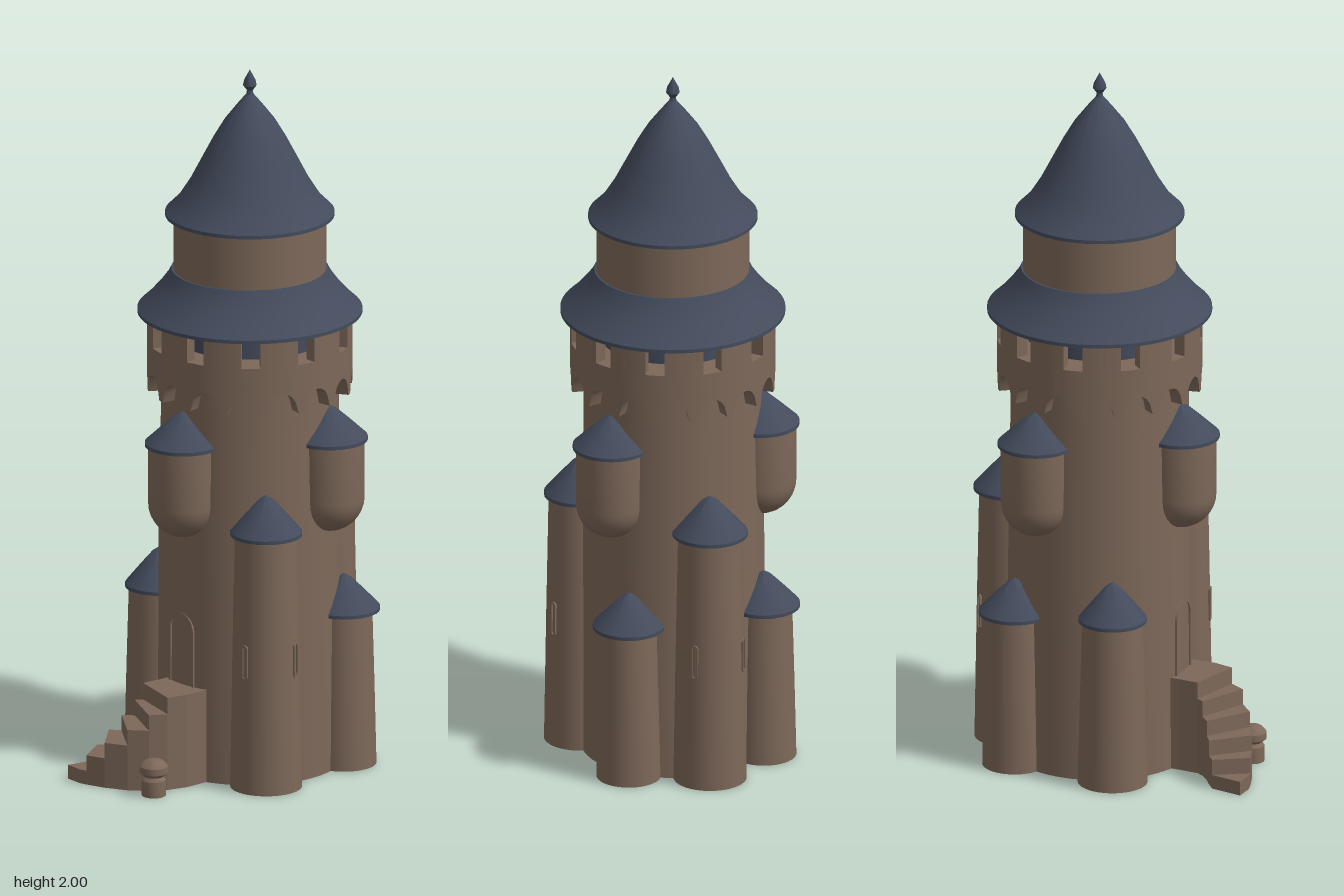
import * as THREE from 'three';
import { toCreasedNormals } from 'three/addons/utils/BufferGeometryUtils.js';

const stone = new THREE.MeshStandardMaterial({ color: 0x7d6859 });
const slate = new THREE.MeshStandardMaterial({ color: 0x434b5c });
stone.name = 'stone';
slate.name = 'slate';

const AXIS_Z = -0.068; // the keep stands a little behind the centre

function part(parent, name, geo, mat, x = 0, y = 0, z = 0) {
  const mesh = new THREE.Mesh(geo, mat);
  mesh.name = name;
  mesh.position.set(x, y, z);
  parent.add(mesh);
  return mesh;
}

function lathe(points, segments = 48) {
  return toCreasedNormals(new THREE.LatheGeometry(points.map(p => new THREE.Vector2(...p)), segments), 0.6);
}

// Flat shape raised along y
function slab(shape, height) {
  const geo = new THREE.ExtrudeGeometry(shape, { depth: height, bevelEnabled: false, curveSegments: 12 });
  return toCreasedNormals(geo.rotateX(-Math.PI / 2), 0.5);
}

// Small conical roof with a slightly flared eave
function turretRoof(r, eave, peak) {
  const h = peak - eave;
  return lathe([[0, eave - 0.01], [r, eave - 0.01], [r, eave], [r * 0.55, eave + h * 0.5], [r * 0.2, eave + h * 0.87], [0, peak]], 32);
}

// Outline with a round head, and a round foot if asked
function archPath(path, w, bottom, top, roundFoot) {
  if (roundFoot) path.absarc(0, bottom + w, w, Math.PI, Math.PI * 2, false);
  else path.moveTo(-w, bottom).lineTo(w, bottom);
  path.absarc(0, top - w, w, 0, Math.PI, false);
  path.closePath();
  return path;
}

function archFrame(w, bottom, top, rim, roundFoot) {
  const shape = archPath(new THREE.Shape(), w, bottom, top, roundFoot);
  shape.holes.push(archPath(new THREE.Path(), w - rim, bottom + (roundFoot ? rim : 0.002), top - rim, roundFoot));
  return new THREE.ExtrudeGeometry(shape, { depth: 0.008, bevelEnabled: false });
}

function buildKeep(g) {
  part(g, 'keepWall', lathe([[0, 0], [0.255, 0], [0.253, 0.7], [0.247, 1.0], [0.247, 1.2], [0, 1.2]], 64), stone);
  part(g, 'doorFrame', archFrame(0.05, 0.265, 0.475, 0.006, false), stone, 0, 0, 0.247);

  // Gallery wall whose lower edge is cut into round arches
  const geo = new THREE.LatheGeometry([[0.235, 1.08], [0.285, 1.08], [0.285, 1.22], [0, 1.22]].map(p => new THREE.Vector2(...p)), 192);
  const pos = geo.attributes.position;
  for (let i = 0; i < pos.count; i++) {
    if (pos.getY(i) > 1.1) continue;
    const turn = Math.atan2(pos.getX(i), pos.getZ(i)) / (Math.PI * 2) * 16;
    const t = (turn - Math.round(turn)) * 2 / 0.8;
    pos.setY(i, 1.08 + 0.06 * Math.sqrt(Math.max(0, 1 - t * t)));
  }
  part(g, 'archedGallery', toCreasedNormals(geo, 0.5), stone);

  // Merlons around the gallery
  const count = 11, half = Math.PI / count - 0.096;
  const sector = new THREE.Shape();
  sector.absarc(0, 0, 0.285, -half, half, false);
  sector.absarc(0, 0, 0.25, half, -half, true);
  const merlon = slab(sector, 0.09);
  for (let i = 0; i < count; i++) {
    part(g, 'merlon', merlon, stone, 0, 1.22, 0).rotation.y = i * Math.PI * 2 / count - Math.PI / 2;
  }
  part(g, 'galleryCore', new THREE.CylinderGeometry(0.2, 0.2, 0.1, 48), slate, 0, 1.26, 0);

  part(g, 'lowerRoof', lathe([[0, 1.3], [0.312, 1.3], [0.312, 1.31], [0.285, 1.335], [0.25, 1.375], [0.228, 1.405], [0.218, 1.425], [0, 1.425]], 64), slate);
  part(g, 'upperDrum', new THREE.CylinderGeometry(0.212, 0.212, 0.19, 64), stone, 0, 1.5, 0);
  part(g, 'spireRoof', lathe([[0, 1.58], [0.235, 1.58], [0.235, 1.59], [0.2, 1.625], [0.165, 1.68], [0.133, 1.742],
    [0.1, 1.805], [0.07, 1.855], [0.035, 1.9], [0.01, 1.93], [0, 1.93]], 64), slate);
  part(g, 'finial', lathe([[0.012, 1.92], [0.008, 1.94], [0.019, 1.955], [0.016, 1.97], [0, 2]], 16), slate);
}

function buildTurrets(g) {
  // x, z, eave, peak, body radius at the foot, roof radius, whether it has slits
  const turrets = [
    [0.222, 0.068, 0.74, 0.845, 0.1, 0.1, true],
    [0, -0.335, 0.74, 0.845, 0.102, 0.105, true],
    [-0.225, 0.068, 0.485, 0.59, 0.097, 0.095, false],
    [0.203, -0.237, 0.455, 0.55, 0.09, 0.1, false],
    [-0.203, -0.237, 0.455, 0.55, 0.09, 0.1, false],
  ];
  for (const [x, z, eave, peak, r, roofR, slits] of turrets) {
    const t = new THREE.Group();
    t.name = 'groundTurret';
    t.position.set(x, 0, z);
    g.add(t);
    part(t, 'turretWall', lathe([[0, 0], [r, 0], [r * 0.94, eave * 0.5], [r * 0.87, eave], [0, eave]], 40), stone);
    part(t, 'turretRoof', turretRoof(roofR, eave, peak), slate);
    if (!slits) continue;
    const outward = Math.atan2(x, z - AXIS_Z);
    for (const side of [-1, 1]) {
      const a = outward + side * 0.85, d = r * 0.94 - 0.004;
      part(t, 'arrowSlit', archFrame(0.01, 0.33, 0.43, 0.004, true), stone,
        Math.sin(a) * d, 0, Math.cos(a) * d).rotation.y = a;
    }
  }

  // Hanging turrets with rounded undersides
  const body = [];
  for (let i = 0; i <= 8; i++) {
    const a = i / 8 * Math.PI / 2;
    body.push([0.098 * Math.sin(a), 0.795 - 0.098 * Math.cos(a)]);
  }
  body.push([0.098, 0.97], [0, 0.97]);
  for (const [x, z] of [[0, 0.178], [0.225, -0.163], [-0.225, -0.163]]) {
    part(g, 'hangingTurret', lathe(body, 40), stone, x, 0, z);
    part(g, 'hangingTurretRoof', turretRoof(0.107, 0.97, 1.06), slate, x, 0, z);
  }
}

function buildStairs(g) {
  // Each rung: inner x, z and outer x, z, from the foot to the door
  const rungs = [
    [-0.19, 0.437, -0.135, 0.44], [-0.17, 0.345, -0.115, 0.435], [-0.145, 0.325, -0.06, 0.417],
    [-0.115, 0.305, 0, 0.385], [-0.088, 0.28, 0.045, 0.345], [-0.075, 0.26, 0.072, 0.3],
    [-0.07, 0.2, 0.088, 0.24], [-0.07, 0.12, 0.088, 0.12],
  ];
  const heights = [0.04, 0.085, 0.13, 0.175, 0.22, 0.268, 0.268];
  heights.forEach((h, i) => {
    const [a, b] = [rungs[i], rungs[i + 1]];
    const tread = new THREE.Shape([[a[0], a[1]], [a[2], a[3]], [b[2], b[3]], [b[0], b[1]]].map(p => new THREE.Vector2(p[0], -p[1])));
    part(g, 'stairStep', slab(tread, h), stone);
  });
  part(g, 'stairPost', lathe([[0, 0], [0.034, 0], [0.034, 0.045], [0.026, 0.055], [0.04, 0.066],
    [0.04, 0.085], [0.026, 0.1], [0, 0.107]], 16), stone, 0.08, 0, 0.358);
}

export function createModel() {
  const model = new THREE.Group();
  model.name = 'castleTower';
  const keep = new THREE.Group();
  keep.name = 'keep';
  keep.position.z = AXIS_Z;
  const turrets = new THREE.Group();
  turrets.name = 'turrets';
  const stairs = new THREE.Group();
  stairs.name = 'stairs';
  model.add(keep, turrets, stairs);
  buildKeep(keep);
  buildTurrets(turrets);
  buildStairs(stairs);
  return model;
}
